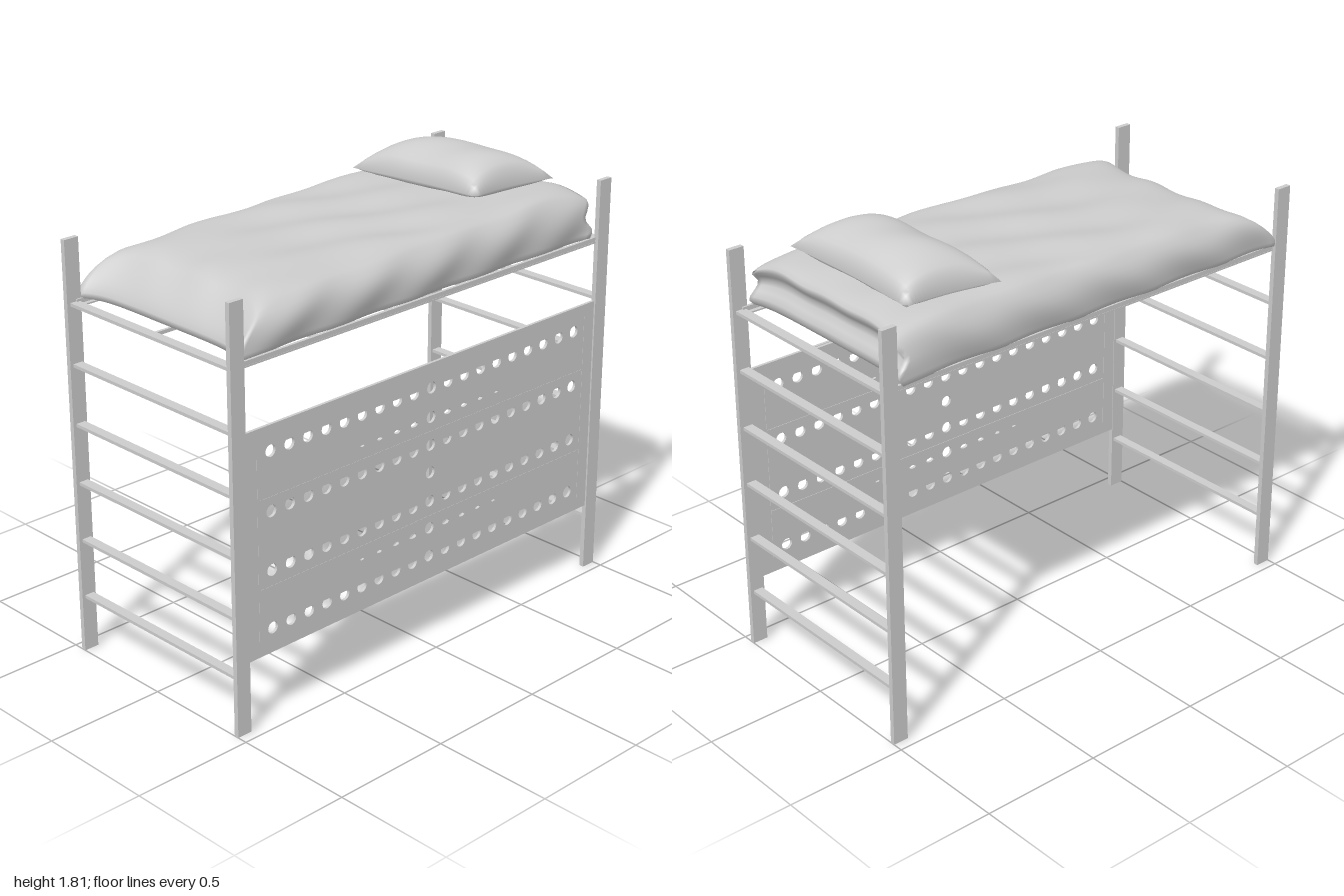
import * as THREE from 'three';
import { mergeVertices } from 'three/addons/utils/BufferGeometryUtils.js';

const grey = new THREE.MeshStandardMaterial({ color: 0xcccccc, side: THREE.DoubleSide });

function add(group, name, geometry, x = 0, y = 0, z = 0) {
  const mesh = new THREE.Mesh(geometry, grey);
  mesh.name = name;
  mesh.position.set(x, y, z);
  group.add(mesh);
  return mesh;
}

const box = (group, name, w, h, d, x, y, z) =>
  add(group, name, new THREE.BoxGeometry(w, h, d), x, y, z);

// Subdivided box whose vertices (u, v, w in -1..1) are moved by a rule, smooth shaded
function softBox(nx, ny, nz, rule) {
  let geo = new THREE.BoxGeometry(2, 2, 2, nx, ny, nz);
  geo.deleteAttribute('normal');
  geo.deleteAttribute('uv');
  const p = geo.attributes.position;
  for (let i = 0; i < p.count; i++) {
    p.setXYZ(i, ...rule(p.getX(i), p.getY(i), p.getZ(i)));
  }
  geo = mergeVertices(geo, 1e-5);
  geo.computeVertexNormals();
  return geo;
}

// Perforated board, drawn with shape x = model z
function panelGeometry() {
  const board = new THREE.Shape();
  board.moveTo(-0.935, 0.285);
  board.lineTo(0.935, 0.285);
  board.lineTo(0.935, 1.19);
  board.lineTo(-0.935, 1.19);
  board.closePath();
  const pitch = 0.0907, r = 0.024;
  const hole = (draw) => {
    const path = new THREE.Path();
    draw(path);
    path.closePath();
    board.holes.push(path);
  };
  // main rows: full holes at middle and ends, flat-topped ones between
  for (const y of [0.385, 0.62, 0.855, 1.09]) {
    for (let k = -9; k <= 9; k++) {
      const n = Math.abs(k);
      if (n === 0 || n === 9) hole((h) => h.absarc(k * pitch, y, r, 0, Math.PI * 2));
      else {
        const s = 0.05 + n * 0.1;
        hole((h) => h.absarc(k * pitch, y, r, Math.PI - s, Math.PI * 2 + s));
      }
    }
  }
  // middle column and the narrowing slots beside it
  for (const y of [0.505, 0.74, 0.97]) {
    hole((h) => h.absarc(0, y, r, 0, Math.PI * 2));
    if (y === 0.74) continue;
    for (let k = -4; k <= 4; k++) {
      const n = Math.abs(k);
      if (n) hole((h) => h.absellipse(k * pitch, y - 0.005, 0.022 - n * 0.003, 0.012 - n * 0.002, 0, Math.PI * 2));
    }
  }
  const geo = new THREE.ExtrudeGeometry(board, { depth: 0.012, bevelEnabled: false, curveSegments: 12 });
  return geo.rotateY(-Math.PI / 2);
}

// Mattress with rumpled cover: sloped foot end, fuller head end, flared corners
function mattressRule(u, v, w) {
  const t = (v + 1) / 2;
  const corner = Math.abs(u) ** 6;
  const front = 0.89 + 0.055 * corner - 0.13 * t ** 1.6;
  const back = 0.885 + 0.025 * corner + 0.02 * Math.sin(t * Math.PI * 2.6);
  const z = w > 0 ? w * front : w * back;
  const side = 0.432 - 0.03 * t ** 5 + 0.012 * Math.sin(t * Math.PI) * (1 - w ** 8) + 0.014 * w ** 12 * (1 - t);
  const x = u * side - 0.008 + 0.005 * Math.sin(z * 17 + t * 4) * u ** 4;
  const folds = 0.004 * Math.sin(x * 24 + 3 * Math.sin(z * 4))
    + 0.004 * Math.sin(z * 13 + x * 9) * Math.cos(x * 11 - z * 3);
  const top = 0.202 - 0.012 * w + folds - 0.028 * u ** 10 - 0.03 * Math.abs(w) ** 14;
  return [x, 1.453 + t * top, z];
}

// Pillow: two bulging faces meeting in a pinched seam
function pillowRule(u, v, w) {
  const bulge = Math.sqrt(Math.max(0, (1 - u ** 4) * (1 - w * w)));
  const x = u * (0.325 - 0.025 * (1 - w * w)) - 0.033 - 0.025 * w;
  const z = w * (0.195 - 0.015 * (1 - u * u)) - 0.61 - 0.01 * u;
  const crease = 0.004 * Math.sin(x * 20 + z * 14) * bulge;
  const y = 1.685 + 0.012 * u + (v > 0 ? 0.125 * bulge : -0.045 * bulge) + crease;
  return [x, y, z];
}

export function createModel() {
  const model = new THREE.Group();
  model.name = 'loftBed';

  // Four corner posts
  for (const sx of [-1, 1]) {
    for (const sz of [-1, 1]) box(model, 'cornerPost', 0.02, 1.692, 0.064, sx * 0.449, 0.846, sz * 0.968);
  }

  // Ladder rungs at both ends; the top ones carry the bed base
  for (const sz of [-1, 1]) {
    for (let i = 0; i < 6; i++) box(model, 'ladderRung', 0.88, 0.013, 0.04, 0, 0.232 + i * 0.2415, sz * 0.966);
  }

  // Bed base: side rails, middle rail and cross slats
  const base = new THREE.Group();
  base.name = 'bedBase';
  model.add(base);
  for (const sx of [-1, 1]) {
    box(base, 'sideRail', 0.012, 0.024, 1.92, sx * 0.438, 1.443, 0);
    box(base, 'railLedge', 0.03, 0.006, 1.92, sx * 0.43, 1.434, 0);
  }
  box(base, 'middleRail', 0.012, 0.014, 1.92, 0, 1.438, 0);
  for (let i = 0; i < 9; i++) box(base, 'slat', 0.87, 0.012, 0.022, 0, 1.444, -0.76 + i * 0.19);

  // Perforated side panel with thin seam strips
  const panel = new THREE.Group();
  panel.name = 'sidePanel';
  model.add(panel);
  add(panel, 'perforatedBoard', panelGeometry(), 0.453);
  for (const y of [0.555, 0.91]) box(panel, 'seamStrip', 0.015, 0.005, 1.76, 0.4465, y, 0);
  for (const z of [-0.88, 0.88]) box(panel, 'edgeStrip', 0.015, 0.8, 0.005, 0.4465, 0.74, z);

  // Bedding
  add(model, 'mattress', softBox(48, 8, 80, mattressRule));
  add(model, 'pillow', softBox(28, 1, 22, pillowRule));

  return model;
}
